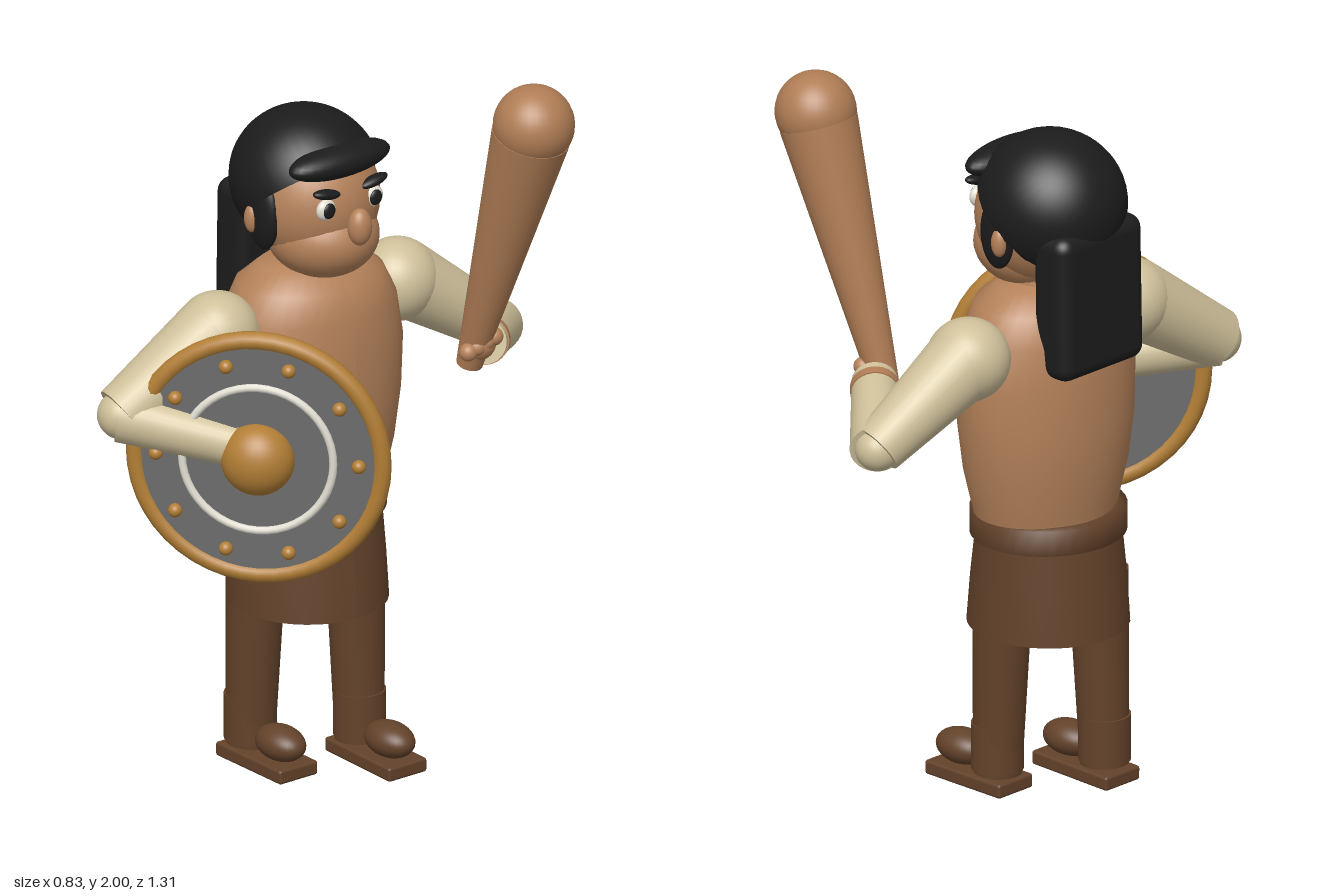
import * as THREE from 'three';
import { RoundedBoxGeometry } from 'three/addons/geometries/RoundedBoxGeometry.js';

const mat = (name, color, side = THREE.FrontSide) => {
  const m = new THREE.MeshStandardMaterial({ color, side });
  m.name = name;
  return m;
};

export function createModel() {
  const root = new THREE.Group();
  root.name = 'warrior';
  const skin = mat('skin', 0xb5825a);
  const wood = mat('wood', 0xb07d55);
  const sleeve = mat('sleeve cloth', 0xcfc09a);
  const hair = mat('black hair', 0x1c1c1c);
  const leather = mat('brown leather', 0x63422a, THREE.DoubleSide);
  const steel = mat('grey steel', 0x6c6c6c);
  const gold = mat('gold', 0xb27e35);
  const white = mat('white', 0xe2ded2);

  const V = (x, y, z) => new THREE.Vector3(x, y, z);
  const UP = V(0, 1, 0);
  function add(name, geo, material, x = 0, y = 0, z = 0, parent = root) {
    const m = new THREE.Mesh(geo, material);
    m.name = name;
    m.position.set(x, y, z);
    parent.add(m);
    return m;
  }
  function ball(name, material, x, y, z, rx, ry = rx, rz = rx, parent = root) {
    const m = add(name, new THREE.SphereGeometry(1, 32, 20), material, x, y, z, parent);
    m.scale.set(rx, ry, rz);
    return m;
  }
  // Tapered cylinder between two points
  function limb(name, material, a, b, ra, rb) {
    const d = b.clone().sub(a);
    const c = a.clone().add(b).multiplyScalar(0.5);
    const m = add(name, new THREE.CylinderGeometry(rb, ra, d.length(), 28), material, c.x, c.y, c.z);
    m.quaternion.setFromUnitVectors(UP, d.normalize());
    return m;
  }
  // Elliptical loft from rows of [y, radiusX, radiusZ]
  function loft(name, material, rows, cx) {
    const n = 36, pos = [], idx = [];
    rows.forEach(([y, rx, rz], j) => {
      for (let i = 0; i <= n; i++) {
        const t = (i / n) * Math.PI * 2;
        pos.push(cx + rx * Math.cos(t), y, rz * Math.sin(t));
        if (j && i) {
          const a = (j - 1) * (n + 1) + i - 1, b = a + n + 1;
          idx.push(a, b, a + 1, b, b + 1, a + 1);
        }
      }
    });
    const g = new THREE.BufferGeometry();
    g.setAttribute('position', new THREE.Float32BufferAttribute(pos, 3));
    g.setIndex(idx);
    g.computeVertexNormals();
    return add(name, g, material);
  }

  // Torso, kilt and belt
  loft('torso', skin, [[0.74, 0.165, 0.2], [0.82, 0.175, 0.22], [0.92, 0.195, 0.245], [1.05, 0.205, 0.265],
    [1.2, 0.2, 0.275], [1.32, 0.19, 0.255], [1.4, 0.165, 0.215], [1.45, 0.1, 0.155], [1.46, 0.001, 0.001]], -0.19);
  loft('kilt', leather, [[0.47, 0.22, 0.217], [0.6, 0.205, 0.214], [0.76, 0.18, 0.207]], -0.2);
  loft('belt', leather, [[0.73, 0.18, 0.2], [0.73, 0.205, 0.217], [0.8, 0.205, 0.217], [0.8, 0.17, 0.19]], -0.2);
  add('buckle', new THREE.BoxGeometry(0.03, 0.05, 0.065), gold, 0.005, 0.8, 0);

  // Legs: the right one (+z) is set back
  for (const [side, s, x, hipX] of [['right', 1, -0.29, -0.265], ['left', -1, -0.13, -0.15]]) {
    const z = s * 0.122;
    limb(side + 'Leg', leather, V(x, 0.05, z), V(hipX, 0.6, z), 0.066, 0.082);
    add(side + 'BootCuff', new THREE.CylinderGeometry(0.071, 0.071, 0.13, 28), leather, x, 0.125, z);
    const sole = add(side + 'Sole', new RoundedBoxGeometry(0.28, 0.04, 0.13, 2, 0.008), leather, x + 0.07, 0.021, z);
    sole.rotation.z = 0.01 * s;
    ball(side + 'Toe', leather, x + 0.13, 0.085, z, 0.083, 0.048, 0.058);
  }

  // Head and face
  add('neck', new THREE.CylinderGeometry(0.09, 0.11, 0.12, 24), skin, -0.18, 1.45, 0);
  ball('head', skin, -0.175, 1.63, 0, 0.18, 0.19, 0.18);
  ball('jaw', skin, -0.135, 1.535, 0, 0.158, 0.118, 0.15);
  ball('nose', skin, 0.026, 1.6, 0, 0.032, 0.052, 0.034);

  // Hair: cap with its open rim tilted up toward the face
  const cap = ball('hairCap', hair, -0.21, 1.67, 0, 1);
  cap.geometry = new THREE.SphereGeometry(1, 40, 24, 0, Math.PI * 2, 0, Math.PI * 0.56);
  cap.geometry.rotateZ(0.7);
  cap.scale.set(0.21, 0.198, 0.2);
  ball('hairBack', hair, -0.255, 1.64, 0, 0.15, 0.14, 0.183);
  ball('fringe', hair, -0.062, 1.765, 0, 0.062, 0.045, 0.165);
  add('ponytail', new RoundedBoxGeometry(0.13, 0.41, 0.315, 4, 0.04), hair, -0.35, 1.44, 0).rotation.z = -0.02;

  for (const s of [1, -1]) {
    const side = s > 0 ? 'right' : 'left';
    ball(side + 'Sideburn', hair, -0.175, 1.615, s * 0.168, 0.058, 0.1, 0.028);
    ball(side + 'Ear', skin, -0.2, 1.6, s * 0.188, 0.023, 0.04, 0.02);
    ball(side + 'EyeWhite', white, -0.018, 1.655, s * 0.08, 0.018, 0.03, 0.03);
    ball(side + 'Pupil', hair, -0.006, 1.655, s * 0.079, 0.01, 0.022, 0.02);
    ball(side + 'Brow', hair, -0.015, 1.7, s * 0.08, 0.02, 0.014, 0.045).rotation.x = -s * 0.2;
    ball(side + 'Shoulder', sleeve, -0.2, 1.3, s * 0.305, 0.114);
  }

  // Shield arm
  const elbowR = V(-0.25, 1.12, 0.59), wristR = V(0.01, 1.05, 0.355);
  limb('rightUpperArm', sleeve, V(-0.2, 1.3, 0.32), elbowR, 0.108, 0.082);
  ball('rightElbow', sleeve, elbowR.x, elbowR.y, elbowR.z, 0.066);
  limb('rightForearm', sleeve, elbowR, wristR, 0.075, 0.06);
  limb('rightWristBand', wood, V(-0.025, 1.059, 0.386), V(0.0, 1.052, 0.364), 0.066, 0.066);
  ball('rightHand', skin, 0.025, 1.045, 0.325, 0.05);

  // Club arm
  const elbowL = V(-0.145, 1.11, -0.595), wristL = V(0.07, 1.185, -0.385);
  limb('leftUpperArm', sleeve, V(-0.2, 1.3, -0.32), elbowL, 0.105, 0.072);
  ball('leftElbow', sleeve, elbowL.x, elbowL.y, elbowL.z, 0.06);
  limb('leftForearm', sleeve, elbowL, wristL, 0.074, 0.062);
  limb('leftWristBand', wood, V(0.032, 1.172, -0.422), V(0.051, 1.178, -0.403), 0.067, 0.067);
  ball('leftHand', skin, 0.085, 1.195, -0.355, 0.048);
  for (let i = 0; i < 4; i++) {
    ball('finger', skin, 0.115 - i * 0.004, 1.215 - i * 0.01, -0.385 + i * 0.026, 0.025);
  }

  // Club
  const clubTop = V(0.305, 1.89, -0.37);
  limb('club', wood, V(0.06, 1.13, -0.345), clubTop.clone().lerp(V(0.06, 1.13, -0.345), 0.04), 0.036, 0.107);
  ball('clubHead', wood, clubTop.x, clubTop.y, clubTop.z, 0.11);

  // Shield, built facing +z and then turned
  const shield = new THREE.Group();
  shield.name = 'shield';
  shield.position.set(0.035, 1.03, 0.35);
  shield.rotation.y = 0.72;
  root.add(shield);
  add('shieldFace', new THREE.CylinderGeometry(0.335, 0.335, 0.03, 48), steel, 0, 0, 0, shield).rotation.x = Math.PI / 2;
  add('shieldRim', new THREE.TorusGeometry(0.335, 0.025, 12, 48), gold, 0, 0, 0, shield);
  add('shieldRing', new THREE.TorusGeometry(0.205, 0.011, 10, 48), white, 0, 0, 0.017, shield);
  ball('shieldBoss', gold, 0, 0, 0.015, 0.1, 0.1, 0.085, shield);
  for (let i = 0; i < 10; i++) {
    const t = (i / 10) * Math.PI * 2;
    ball('rivet', gold, 0.275 * Math.cos(t), 0.275 * Math.sin(t), 0.022, 0.019, 0.019, 0.019, shield);
  }
  return root;
}
